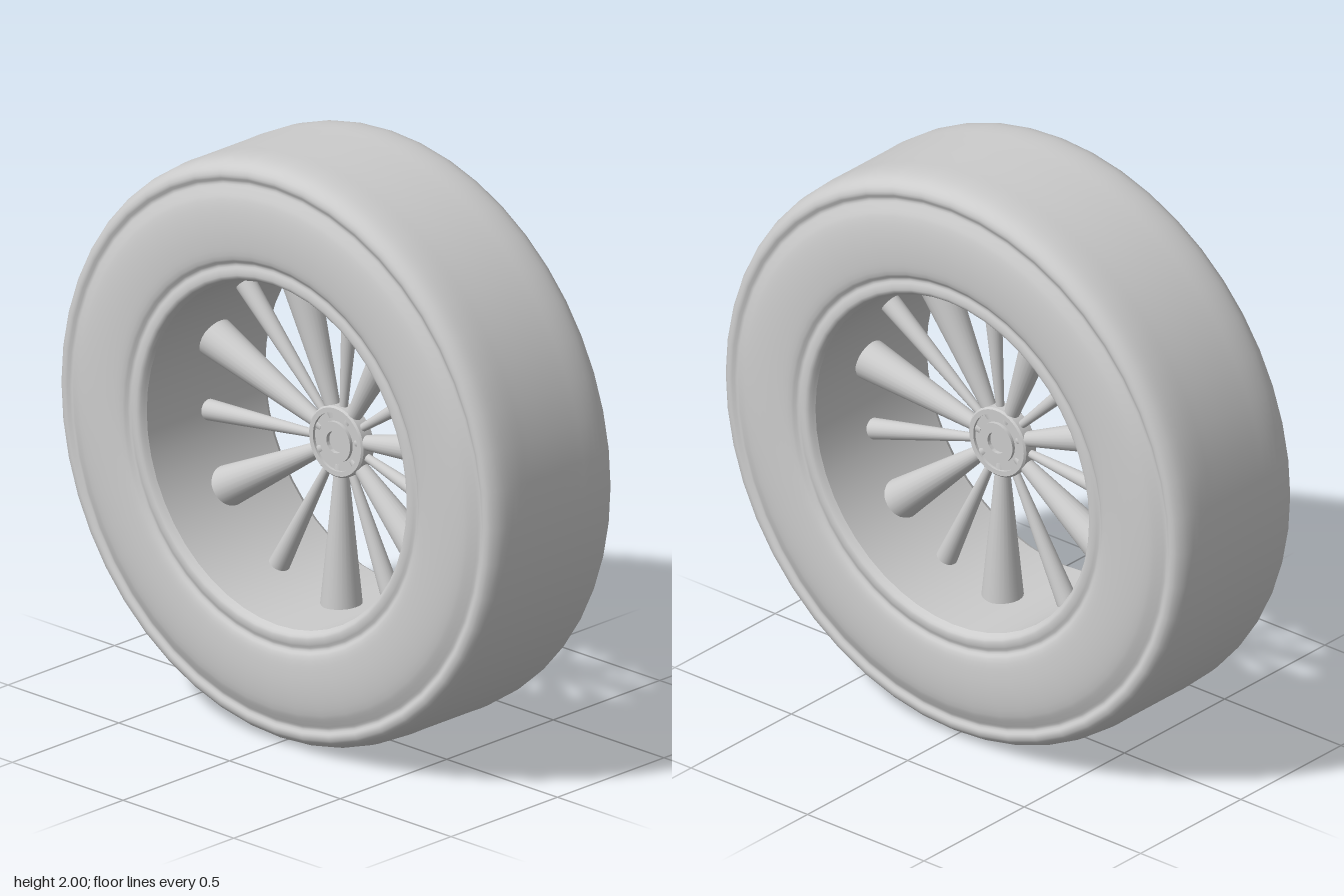
import * as THREE from 'three';
import { toCreasedNormals } from 'three/addons/utils/BufferGeometryUtils.js';

const material = new THREE.MeshStandardMaterial({ color: 0xcccccc });

function mesh(name, geometry, parent) {
  const m = new THREE.Mesh(geometry, material);
  m.name = name;
  parent.add(m);
  return m;
}

// Mirrors a half profile of [radius, z] (outer middle to inner end) across z = 0
const mirrored = (half) => [...half.slice().reverse().map(([r, z]) => [r, -z]), ...half];

// Lathe whose axis lies along z; profile runs back to front on the outside
function latheZ(points, segments) {
  return new THREE.LatheGeometry(points.map(([r, z]) => new THREE.Vector2(r, z)), segments).rotateX(Math.PI / 2);
}

export function createModel() {
  const group = new THREE.Group();
  const wheel = new THREE.Group();
  wheel.name = 'wheel';
  wheel.position.y = 1;
  group.add(wheel);

  // Tyre: flat tread, rounded shoulder, shallow groove, bulging sidewall, bead lip
  const half = [
    [1, 0.1], [1, 0.19], [0.99, 0.25], [0.968, 0.282], [0.945, 0.289], [0.925, 0.28], [0.905, 0.288],
    [0.87, 0.303], [0.8, 0.313], [0.72, 0.313], [0.67, 0.306], [0.65, 0.293], [0.63, 0.299],
    [0.606, 0.298], [0.59, 0.275],
  ];
  const curve = new THREE.CatmullRomCurve3(
    mirrored(half).map(([r, z]) => new THREE.Vector3(r, z, 0)), false, 'centripetal');
  mesh('tyre', latheZ(curve.getPoints(87).map((p) => [p.x, p.y]), 48), wheel);

  // Inner wall, facing the axis
  mesh('rimWall', latheZ([[0.59, 0.275], [0.59, -0.275]], 48), wheel);

  // Hub and spokes sit very slightly off the tyre's centre
  const core = new THREE.Group();
  core.name = 'hubAndSpokes';
  core.position.set(0.013, -0.02, -0.012);
  wheel.add(core);

  // Hub disc with stepped concentric rings on both faces
  const hubHalf = [
    [0.123, 0.024], [0.117, 0.03], [0.1, 0.03], [0.1, 0.02], [0.07, 0.02],
    [0.07, 0.032], [0.037, 0.032], [0.037, 0.018], [0, 0.018],
  ];
  mesh('hub', toCreasedNormals(latheZ(mirrored(hubHalf), 40), 0.5), core);

  // Tapered spokes, wide and narrow in turn, reaching the inner wall
  function spoke(name, degrees, outerRadius, innerRadius) {
    const a = THREE.MathUtils.degToRad(degrees);
    const dx = Math.cos(a), dy = Math.sin(a);
    // Distance from the hub to the wall along this direction
    const b = 0.013 * dx - 0.02 * dy;
    const end = -b + Math.sqrt(b * b + 0.59 ** 2 - 0.013 ** 2 - 0.02 ** 2) + 0.004;
    const start = 0.08;
    const geometry = new THREE.CylinderGeometry(outerRadius, innerRadius, end - start, 24);
    geometry.translate(0, (start + end) / 2, 0);
    mesh(name, geometry, core).rotation.z = a - Math.PI / 2;
  }
  for (let i = 0; i < 7; i++) {
    spoke('wideSpoke', -90 + 50 * i, 0.07, 0.022);
    spoke('narrowSpoke', i < 6 ? -65 + 50 * i : 241, 0.036, 0.012);
  }
  return group;
}
